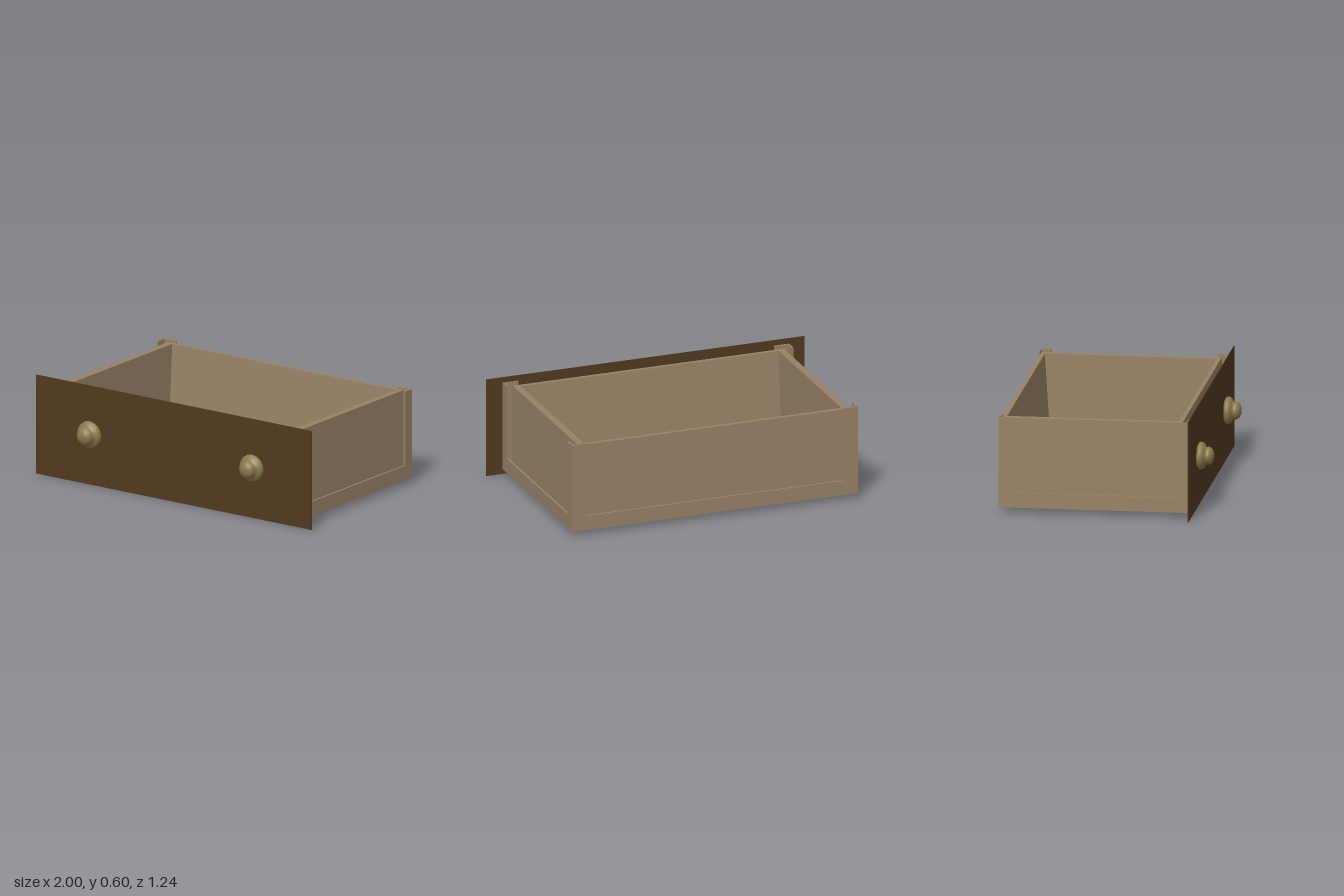
import * as THREE from 'three';

export function createModel() {
  const drawer = new THREE.Group();
  drawer.name = 'drawer';

  const mat = (name, color, side = THREE.FrontSide) => {
    const m = new THREE.MeshStandardMaterial({ color, side });
    m.name = name;
    return m;
  };
  const paleWood = mat('pale wood', 0x988266);
  const darkWood = mat('dark wood', 0x523a1f);
  const brass = mat('aged brass', 0x8a784a, THREE.DoubleSide);

  const add = (name, geometry, material) => {
    const mesh = new THREE.Mesh(geometry, material);
    mesh.name = name;
    drawer.add(mesh);
    return mesh;
  };
  // Box given by opposite corners, in any order on each axis
  const block = (name, x0, x1, y0, y1, z0, z1, material = paleWood) => {
    const size = [x1 - x0, y1 - y0, z1 - z0].map(Math.abs);
    const mesh = add(name, new THREE.BoxGeometry(...size), material);
    mesh.position.set((x0 + x1) / 2, (y0 + y1) / 2, (z0 + z1) / 2);
  };
  const outline = (points) => new THREE.Shape(points.map(([x, y]) => new THREE.Vector2(x, y)));

  const W = 0.9, BACK = -0.617, FRONT = 0.505, T = 0.012;
  const BASE = 0.034, RAIL = 0.123, WALL = 0.564, POST = 0.575;
  const FLOOR = BASE + T;

  // Inner box: floor and thin side walls, standing clear of the outer frame
  block('floor', -0.83, 0.83, FLOOR, 0.088, -0.58, 0.45);
  for (const [side, s] of [['left', 1], ['right', -1]]) {
    block(side + 'Wall', s * 0.81, s * 0.852, FLOOR, WALL, -0.601, 0.465);
  }

  // End walls: the inner faces slope inwards towards the floor
  const endWall = (name, outer, innerTop, innerBottom) => {
    const shape = outline([[-outer, FLOOR], [-innerBottom, FLOOR], [-innerTop, WALL], [-outer, WALL]]);
    const geometry = new THREE.ExtrudeGeometry(shape, { depth: 1.64, bevelEnabled: false });
    geometry.translate(0, 0, -0.82).rotateY(Math.PI / 2);
    add(name, geometry, paleWood);
  };
  endWall('backWall', -0.601, -0.576, -0.543);
  endWall('frontWall', 0.465, 0.44, 0.403);

  // Thin flat frame under the floor
  const bottom = outline([[-W, -FRONT], [W, -FRONT], [W, -BACK], [-W, -BACK]]);
  bottom.holes.push(outline([[-0.805, -0.41], [-0.805, 0.522], [0.805, 0.522], [0.805, -0.41]]));
  const bottomGeometry = new THREE.ExtrudeGeometry(bottom, { depth: T, bevelEnabled: false });
  add('bottomFrame', bottomGeometry.rotateX(-Math.PI / 2).translate(0, BASE, 0), paleWood);

  // Thin lower rails around the outside
  for (const [side, s] of [['left', 1], ['right', -1]]) {
    block(side + 'Rail', s * (W - T), s * W, BASE, RAIL, BACK, FRONT);
  }
  block('backRail', -W, W, BASE, RAIL, BACK, BACK + T);
  block('frontRail', -W, W, BASE, RAIL, FRONT - T, FRONT);

  // Thin L-shaped corner posts
  for (const sx of [-1, 1]) {
    for (const [end, z, dir] of [['back', BACK, 1], ['front', FRONT, -1]]) {
      const corner = [[0, 0], [0.095, 0], [0.095, T], [T, T], [T, 0.071], [0, 0.071]];
      const shape = outline(corner.map(([x, d]) => [sx * (W - x), -(z + dir * d)]));
      const geometry = new THREE.ExtrudeGeometry(shape, { depth: POST - BASE, bevelEnabled: false });
      geometry.rotateX(-Math.PI / 2).translate(0, BASE, 0);
      add(end + (sx > 0 ? 'Left' : 'Right') + 'Post', geometry, paleWood);
    }
  }

  // Thin front panel
  block('frontPanel', -1, 1, 0, 0.604, 0.516, 0.52, darkWood);

  // Round knobs: bevelled flange with a domed button
  const profile = [
    [0.045, 0.51], [0.06, 0.518], [0.078, 0.528], [0.083, 0.538], [0.081, 0.55], [0.07, 0.564],
    [0.052, 0.57], [0.055, 0.582], [0.051, 0.597], [0.038, 0.61], [0.02, 0.617], [0, 0.619],
  ].map(([r, z]) => new THREE.Vector2(r, z));
  for (const [name, x] of [['rightKnob', -0.597], ['leftKnob', 0.58]]) {
    const geometry = new THREE.LatheGeometry(profile, 16).rotateX(Math.PI / 2);
    add(name, geometry, brass).position.set(x, 0.311, 0);
  }

  return drawer;
}
